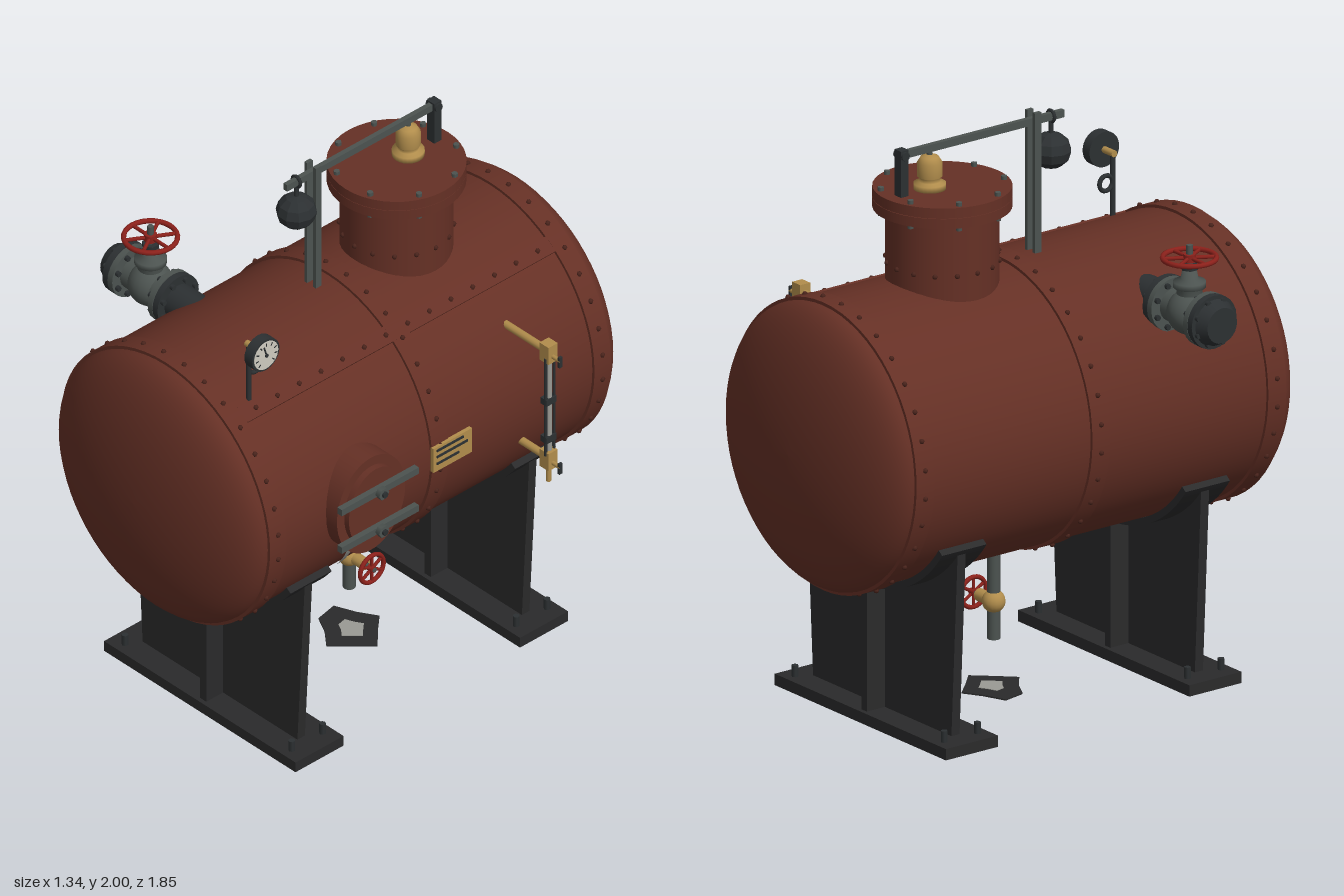
import * as THREE from 'three';
import { mergeGeometries } from 'three/addons/utils/BufferGeometryUtils.js';

const mat = (name, color, side = THREE.FrontSide) => {
  const m = new THREE.MeshStandardMaterial({ color, side });
  m.name = name;
  return m;
};
const CY = 1.01, R = 0.5, PI = Math.PI;

export function createModel() {
  const shellRed = mat('oxide red shell', 0x653025);
  const rivetRed = mat('dark rivet red', 0x4a241c);
  const black = mat('saddle black', 0x2a2a2b);
  const iron = mat('dark iron', 0x2c3032);
  const steel = mat('grey green steel', 0x4c5350);
  const brass = mat('brass', 0xb18d4c);
  const red = mat('handwheel red', 0x8c211b);
  const white = mat('dial white', 0xcfcbc0);
  const grey = mat('pale grey', 0x9a9a94, THREE.DoubleSide);
  const root = new THREE.Group();
  root.name = 'boiler';

  const add = (name, geo, m, x = 0, y = 0, z = 0, parent = root) => {
    const o = new THREE.Mesh(geo, m);
    o.name = name;
    o.position.set(x, y, z);
    parent.add(o);
    return o;
  };
  const group = (name, x = 0, y = 0, z = 0) => {
    const g = new THREE.Group();
    g.name = name;
    g.position.set(x, y, z);
    root.add(g);
    return g;
  };
  const box = (w, h, d) => new THREE.BoxGeometry(w, h, d);
  const cyl = (r, h, axis = 'y', seg = 24, r2 = r) => {
    const g = new THREE.CylinderGeometry(r, r2, h, seg);
    if (axis === 'x') g.rotateZ(-PI / 2);
    if (axis === 'z') g.rotateX(PI / 2);
    return g;
  };
  const lathe = (pts, seg = 24) => new THREE.LatheGeometry(pts.map(p => new THREE.Vector2(p[0], p[1])), seg);
  const flat = g => { const n = g.index ? g.toNonIndexed() : g; n.computeVertexNormals(); return n; };
  // Merge copies of one small part at many points
  const scatter = (name, geo, m, pts, parent = root) =>
    add(name, mergeGeometries(pts.map(p => geo.clone().translate(...p))), m, 0, 0, 0, parent);
  const ring = (n, r, f, offset = 0) => Array.from({ length: n }, (_, i) => {
    const a = (i + offset) / n * PI * 2;
    return f(Math.cos(a) * r, Math.sin(a) * r);
  });

  // Shell with dished heads
  const half = [];
  for (let i = 0; i <= 14; i++) {
    const a = i / 14 * PI / 2;
    half.push([R * Math.sin(a) * 0.995, -0.77 - 0.153 * Math.cos(a)]);
  }
  add('shell', lathe([...half, ...half.map(p => [p[0], -p[1]]).reverse()], 64).rotateX(PI / 2), shellRed, 0, CY);

  // Riveted bands and seam strip
  const rivet = new THREE.SphereGeometry(0.0095, 6, 4);
  const rivets = [];
  for (const z of [-0.737, 0, 0.737]) {
    add('shellBand', cyl(0.508, 0.075, 'z', 64), shellRed, 0, CY, z);
    rivets.push(...ring(32, 0.509, (x, y) => [x, CY + y, z], 0.5));
  }
  const seamA = 0.62;
  add('seamStrip', box(0.06, 0.014, 1.4), shellRed, Math.sin(seamA) * R, CY + Math.cos(seamA) * R, 0).rotation.z = -seamA;
  for (let i = 0; i < 14; i++) {
    const z = -0.64 + i * 0.0985;
    rivets.push([Math.sin(seamA) * 0.508, CY + Math.cos(seamA) * 0.508, z]);
  }
  rivets.push(...ring(16, 0.19, (x, z) => [x, 1.565, -0.275 + z]));
  scatter('rivets', rivet, rivetRed, rivets);

  // Steam dome
  add('domeNeck', cyl(0.19, 0.4, 'y', 40), shellRed, 0, 1.57, -0.275);
  add('domeFlange', cyl(0.233, 0.035, 'y', 40), shellRed, 0, 1.767, -0.275);
  add('domeLid', cyl(0.233, 0.036, 'y', 40), shellRed, 0, 1.804, -0.275);
  scatter('domeBolts', cyl(0.011, 0.1, 'y', 6), steel, ring(8, 0.212, (x, z) => [x, 1.785, -0.275 + z], 0.5));

  // Safety valve, lever, guide and weight
  const sv = group('safetyValve', 0, 0, -0.328);
  add('valveBody', lathe([[0, 1.82], [0.055, 1.82], [0.055, 1.842], [0.036, 1.848], [0.036, 1.862], [0.042, 1.866],
    [0.042, 1.915], [0.03, 1.935], [0.012, 1.942], [0, 1.942]]), brass, 0, 0, 0, sv);
  add('valvePin', cyl(0.01, 0.03), steel, 0, 1.945, 0, sv);
  add('lever', box(0.018, 0.026, 0.69), steel, 0, 1.965, -0.115);
  add('fulcrumPost', box(0.036, 0.165, 0.032), iron, 0, 1.902, -0.446);
  add('fulcrumPin', cyl(0.016, 0.05, 'x', 10), iron, 0, 1.965, -0.446);
  for (const s of [-1, 1]) add('guidePost', box(0.014, 0.5, 0.026), steel, s * 0.021, 1.75, 0.105);
  add('weight', flat(new THREE.SphereGeometry(0.07, 10, 6).scale(1, 0.9, 1)), iron, 0, 1.845, 0.18);
  add('weightHook', cyl(0.008, 0.09, 'y', 8), iron, 0, 1.925, 0.18);
  add('weightEye', new THREE.TorusGeometry(0.02, 0.006, 6, 14), iron, 0, 1.965, 0.18);

  // Saddles
  const web = new THREE.Shape([[-0.376, 0.04], [0.376, 0.04], [0.412, 0.705]].map(p => new THREE.Vector2(...p)));
  const pad = new THREE.Shape();
  const a0 = 0.95;
  web.absarc(0, CY, 0.512, -PI / 2 + a0 - 0.02, -PI / 2 - a0 + 0.02, true);
  pad.absarc(0, CY, 0.522, -PI / 2 - a0, -PI / 2 + a0, false);
  pad.absarc(0, CY, 0.498, -PI / 2 + a0, -PI / 2 - a0, true);
  const slab = (shape, d) => new THREE.ExtrudeGeometry(shape, { depth: d, bevelEnabled: false, curveSegments: 32 }).translate(0, 0, -d / 2);
  for (const z of [-0.51, 0.51]) {
    const g = group('saddle', 0, 0, z);
    add('saddleWeb', slab(web, 0.034), black, 0, 0, 0, g);
    add('saddlePad', slab(pad, 0.186), black, 0, 0, 0, g);
    add('saddleRib', box(0.03, 0.46, 0.186), black, 0, 0.265, 0, g);
    add('basePlate', box(0.93, 0.04, 0.218), black, 0, 0.02, 0, g);
    const spots = [];
    for (const x of [-0.405, 0.405]) for (const dz of [-0.07, 0.07]) spots.push([x, 0.055, dz]);
    scatter('anchorBolts', cyl(0.012, 0.05, 'y', 6), iron, spots, g);
  }

  // Spoked handwheel turning about y
  const handwheel = (r, tube, x, y, z) => {
    const g = group('handwheel', x, y, z);
    add('rim', new THREE.TorusGeometry(r, tube, 8, 28).rotateX(PI / 2), red, 0, 0, 0, g);
    for (let i = 0; i < 3; i++) add('spoke', cyl(tube * 0.75, r * 2, 'x', 6), red, 0, 0, 0, g).rotation.y = i * PI / 3;
    add('hub', cyl(r * 0.24, tube * 3, 'y', 12), red, 0, 0, 0, g);
    return g;
  };

  // Stop valve on the right flank
  const v = group('stopValve', -0.5, 1.375, 0.375);
  add('inletPipe', cyl(0.062, 0.17, 'x'), iron, 0.2, 0, 0, v);
  add('body', cyl(0.058, 0.24, 'x'), steel, 0, 0, 0, v);
  add('bodyBulge', new THREE.SphereGeometry(0.078, 20, 14), steel, 0, 0, 0, v);
  for (const s of [-1, 1]) {
    add('bodyFlange', cyl(0.094, 0.022, 'x'), steel, s * 0.097, 0, 0, v);
    add('pipeFlange', cyl(0.094, 0.024, 'x'), iron, s * 0.122, 0, 0, v);
    scatter('flangeBolts', cyl(0.01, 0.074, 'x', 6), iron, ring(8, 0.078, (y, z) => [s * 0.11, y, z], 0.5), v);
  }
  add('blankEnd', cyl(0.062, 0.04, 'x', 24, 0.082), iron, -0.158, 0, 0, v).rotation.y = PI;
  add('bonnet', lathe([[0.045, 0.04], [0.042, 0.085], [0.055, 0.088], [0.055, 0.108], [0.03, 0.118], [0.024, 0.15], [0, 0.152]]), steel, 0, 0, 0, v);
  add('gland', cyl(0.03, 0.016, 'y', 6), iron, 0, 0.158, 0, v);
  add('stem', cyl(0.011, 0.13, 'y', 10), steel, 0, 0.17, 0, v);
  handwheel(0.09, 0.009, -0.5, 1.565, 0.375);

  // Manhole with clamping dogs
  const oval = (ry, rz, h) => cyl(1, h, 'x', 48).scale(1, ry, rz);
  const mh = group('manhole', 0, 1.02, 0.355);
  add('frame', oval(0.19, 0.155, 0.13), shellRed, 0.485, 0, 0, mh);
  add('cover', oval(0.155, 0.122, 0.06), shellRed, 0.543, 0, 0, mh);
  for (const y of [-0.082, 0.073]) {
    add('dog', box(0.022, 0.026, 0.35), steel, 0.584, y, 0, mh);
    add('dogStud', cyl(0.011, 0.06, 'x', 8), iron, 0.593, y, 0, mh);
    add('dogNut', cyl(0.023, 0.02, 'x', 6), steel, 0.604, y, 0, mh);
  }

  // Scale streak below the manhole, laid on the shell
  const streak = new THREE.PlaneGeometry(1, 1, 1, 4);
  [[0.825, 0.374, 0.335], [0.785, 0.37, 0.338], [0.745, 0.362, 0.336], [0.7, 0.352, 0.328], [0.66, 0.338, 0.322]]
    .forEach(([y, z0, z1], i) => [z0, z1].forEach((z, j) =>
      streak.attributes.position.setXYZ(i * 2 + j, Math.sqrt(0.504 ** 2 - (y - CY) ** 2), y, z)));
  streak.computeVertexNormals();
  add('scaleStreak', streak, grey);

  // Blank nameplate with engraved bars
  add('nameplate', box(0.014, 0.098, 0.175), brass, 0.509, 1.018, -0.048);
  [[0.035, 0.12, -0.035], [0.01, 0.14, -0.045], [-0.018, 0.1, -0.025]].forEach(([y, w, z]) =>
    add('plateBar', box(0.004, 0.009, w), iron, 0.517, 1.018 + y, z));

  // Water gauge
  const wg = group('waterGauge', 0.605, 0, -0.4);
  for (const [y, x0] of [[1.298, 0.39], [0.86, 0.46]]) {
    const len = 0.605 - x0;
    add('armPipe', cyl(0.014, len, 'x', 12), brass, -len / 2, y, 0, wg);
    add('cockBody', box(0.044, 0.07, 0.042), brass, 0, y, 0, wg);
    add('cockStem', cyl(0.008, 0.05, 'x', 8), brass, 0.035, y - 0.01, 0, wg);
    add('cockHandle', box(0.009, 0.042, 0.014), iron, 0.056, y - 0.015, 0, wg);
  }
  add('glassTube', cyl(0.012, 0.4, 'y', 14), grey, 0, 1.08, 0, wg);
  for (const s of [-1, 1]) add('guardRod', cyl(0.006, 0.4, 'y', 6), iron, 0.006, 1.08, s * 0.019, wg);
  for (const y of [1.1, 0.945]) add('guardCollar', box(0.03, 0.025, 0.046), iron, 0, y, 0, wg);
  add('drainTip', cyl(0.009, 0.07, 'y', 8), brass, 0, 0.8, 0, wg);

  // Pressure gauge on its siphon
  const pg = group('pressureGauge', 0, 0, 0.635);
  add('stem', cyl(0.009, 0.25, 'y', 10), iron, 0.255, 1.54, 0, pg);
  add('siphonLoop', new THREE.TorusGeometry(0.027, 0.008, 8, 24).rotateY(PI / 2), iron, 0.255, 1.56, -0.028, pg);
  add('cock', cyl(0.012, 0.06, 'x', 10), brass, 0.275, 1.66, 0, pg);
  add('case', cyl(0.062, 0.038, 'x', 32), iron, 0.319, 1.66, 0, pg);
  add('dial', cyl(0.054, 0.004, 'x', 32), white, 0.339, 1.66, 0, pg);
  for (let i = 0; i < 9; i++) {
    const a = (i - 4) * 0.58;
    add('tick', box(0.002, 0.012, 0.004), iron, 0.3415, 1.66 + Math.cos(a) * 0.043, Math.sin(a) * 0.043, pg).rotation.x = a;
  }
  add('needle', box(0.003, 0.046, 0.005), iron, 0.342, 1.676, 0.005, pg).rotation.x = 0.3;
  add('needleHub', cyl(0.007, 0.006, 'x', 10), iron, 0.342, 1.66, 0, pg);

  // Blow-down drain and puddle
  const dz = -0.06;
  add('drainPipe', cyl(0.022, 0.36, 'y', 16), steel, 0, 0.355, dz);
  add('drainValve', new THREE.SphereGeometry(0.04, 16, 10), brass, 0, 0.307, dz);
  add('drainBonnet', cyl(0.022, 0.07, 'x', 12), brass, 0.045, 0.307, dz);
  add('drainStem', cyl(0.009, 0.06, 'x', 8), steel, 0.095, 0.307, dz);
  handwheel(0.053, 0.008, 0.11, 0.307, dz).rotation.z = -PI / 2;
  const blot = (r, d) => {
    const radii = [1.15, 0.8, 1, 0.75, 1.1, 0.95, 0.7, 1.05, 0.85];
    const s = new THREE.Shape(radii.map((k, i) => new THREE.Vector2(Math.cos(i * PI * 2 / 9) * r * k, Math.sin(i * PI * 2 / 9) * r * k)));
    return new THREE.ExtrudeGeometry(s, { depth: d, bevelEnabled: false }).rotateX(-PI / 2);
  };
  add('puddle', blot(0.12, 0.005), black, 0, 0, dz);
  add('puddleSheen', blot(0.05, 0.007), grey, 0.01, 0, dz);
  return root;
}
